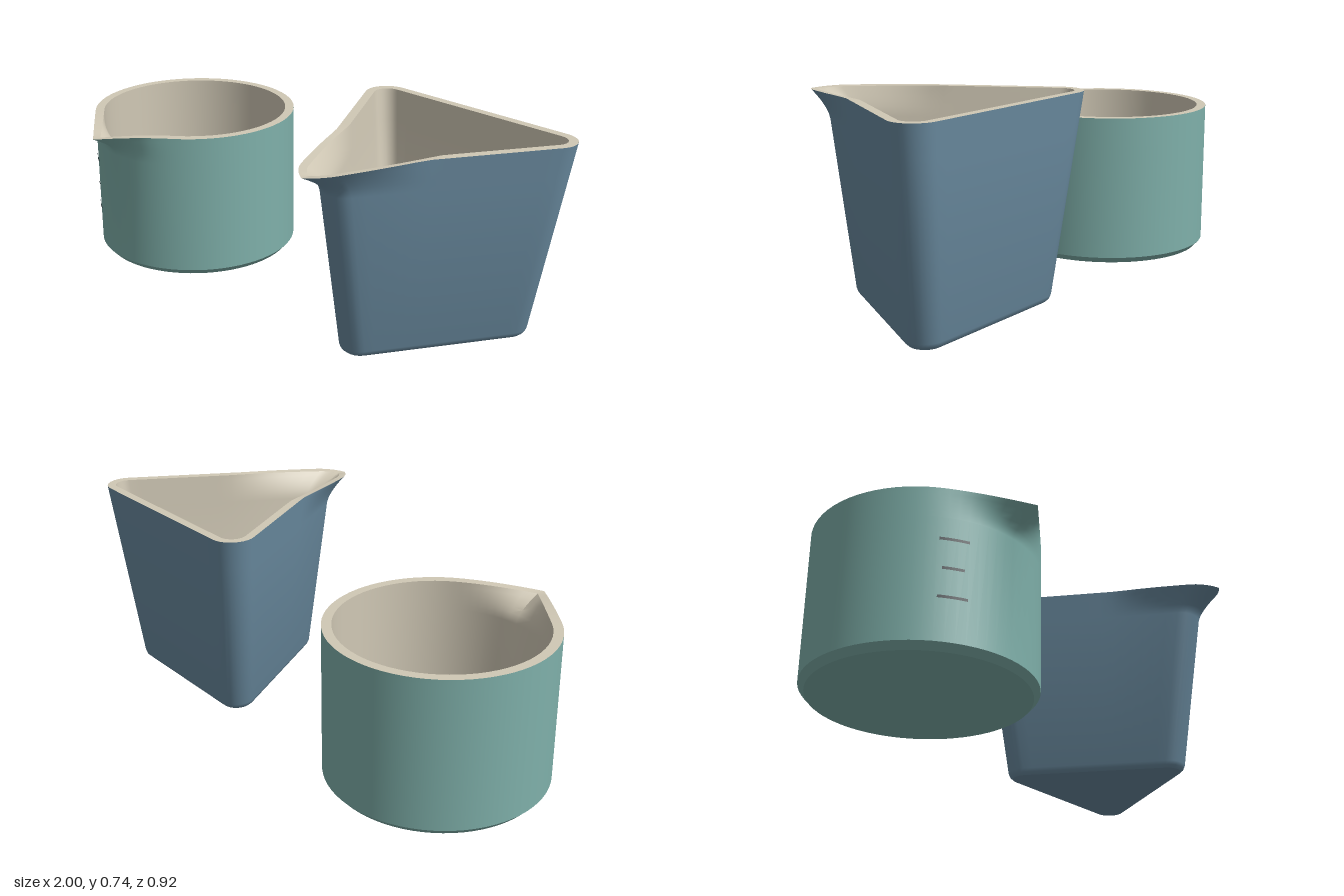
import * as THREE from 'three';
import { toCreasedNormals } from 'three/addons/utils/BufferGeometryUtils.js';

const TEAL = 0x7fb0aa, BLUE = 0x6a8ba0, CREAM = 0xd0c8b5, DARK = 0x26343a;
const lerp = THREE.MathUtils.lerp;
const material = (color) => new THREE.MeshStandardMaterial({ color });

// Skin a stack of closed rings, listed from the bottom outside to the floor inside
function skin(rings) {
  const pos = [];
  const tri = new THREE.Triangle();
  const add = (a, b, c) => {
    if (tri.set(a, b, c).getArea() > 1e-9) pos.push(...a.toArray(), ...b.toArray(), ...c.toArray());
  };
  for (let j = 0; j < rings.length - 1; j++) {
    const lo = rings[j], hi = rings[j + 1], n = lo.length;
    for (let i = 0; i < n; i++) {
      const k = (i + 1) % n;
      add(lo[i], lo[k], hi[k]);
      add(lo[i], hi[k], hi[i]);
    }
  }
  const geo = new THREE.BufferGeometry();
  geo.setAttribute('position', new THREE.Float32BufferAttribute(pos, 3));
  return toCreasedNormals(geo, 0.55);
}

// Plan of the round cup
const R = 0.405;
function roundPlan(y, inset) {
  return Array.from({ length: 72 }, (_, i) => {
    const a = (i / 72) * Math.PI * 2;
    return new THREE.Vector2(Math.sin(a) * (R - inset), Math.cos(a) * (R - inset));
  });
}

// Spout outline of the round cup: two tangents meeting in a point
function roundSpout(p) {
  const half = Math.acos(R / 0.51);
  const a = Math.abs(Math.atan2(p.x, p.y));
  return a < half ? (1 / Math.cos(half - a) - 1) / (0.51 / R - 1) : 0;
}

// Plan of the tapered triangular cup: three rounded corners joined by edges
function trianglePlan(y, inset) {
  const t = (y - 0.02) / 0.72;
  const r = lerp(0.07, 0.085, t), h = lerp(0.28, 0.37, t), back = lerp(-0.315, -0.365, t);
  const centres = [[0, back + h * Math.sqrt(3)], [h, back], [-h, back]];
  const arcs = centres.map(([x, z], k) => Array.from({ length: 11 }, (_, i) => {
    const a = ((k * 120 - 60 + i * 12) * Math.PI) / 180;
    return new THREE.Vector2(x + Math.sin(a) * (r - inset), z + Math.cos(a) * (r - inset));
  }));
  const out = [];
  arcs.forEach((arc, k) => {
    out.push(...arc);
    const from = arc[10], to = arcs[(k + 1) % 3][0];
    for (let i = 1; i < 16; i++) out.push(from.clone().lerp(to, i / 16));
  });
  return out;
}

// Spout of the triangular cup: strongest at the front corner
function triangleSpout(p) {
  const d = Math.abs(p.x) / 0.21;
  return p.y > 0 && d < 1 ? (1 - d) ** 1.2 : 0;
}

// One cup: plan rings lifted through the wall profile, with the spout pulled out near the rim
function makeCup({ name, color, plan, spout, top, spoutY, reach, drop, centreZ, outer, inner }) {
  const ring = ([inset, y, scale = 1]) => plan(y, inset).map((p) => {
    const t = Math.max(0, (y - spoutY) / (top - spoutY));
    const g = spout(p);
    const dir = new THREE.Vector2(p.x, p.y - centreZ).normalize();
    const pull = reach * g * t ** 1.8;
    return new THREE.Vector3(
      (p.x + dir.x * pull) * scale,
      y - drop * g * t,
      centreZ + (p.y - centreZ + dir.y * pull) * scale
    );
  });
  const spoutLevels = [0, 0.17, 0.33, 0.5, 0.67, 0.84, 1].map((t) => lerp(spoutY, top, t));
  const rimInset = inner[0][0];

  const outerRows = [...outer, ...spoutLevels.map((y) => [0, y])];
  const innerRows = [[0, top], ...spoutLevels.reverse().map((y) => [rimInset, y]), ...inner];
  const group = new THREE.Group();
  group.name = name;
  const shell = new THREE.Mesh(skin(outerRows.map(ring)), material(color));
  shell.name = 'outerShell';
  const lining = new THREE.Mesh(skin(innerRows.map(ring)), material(CREAM));
  lining.name = 'rimAndLining';
  group.add(shell, lining);
  return group;
}

export function createModel() {
  const model = new THREE.Group();
  model.name = 'measuringCups';

  // Round cup with a pointed pouring lip
  const round = makeCup({
    name: 'roundCup', color: TEAL, plan: roundPlan, spout: roundSpout,
    top: 0.575, spoutY: 0.465, reach: 0.105, drop: 0.02, centreZ: 0,
    outer: [[0.022, 0, 0], [0.022, 0], [0, 0.024]],
    inner: [[0.035, 0.06], [0.05, 0.04], [0.05, 0.04, 0]],
  });
  round.position.set(-0.6, 0, -0.055);
  model.add(round);

  // Measuring marks wrapped on the front of the round cup
  for (const [y, from, to] of [[0.385, -0.255, -0.17], [0.28, -0.245, -0.183], [0.178, -0.255, -0.17]]) {
    const a = Math.asin(from / R), b = Math.asin(to / R);
    const mark = new THREE.Mesh(
      new THREE.CylinderGeometry(R + 0.003, R + 0.003, 0.01, 8, 1, true, a, b - a),
      new THREE.MeshStandardMaterial({ color: DARK, side: THREE.DoubleSide })
    );
    mark.name = 'measuringMark';
    mark.position.y = y;
    round.add(mark);
  }

  // Triangular cup that pours from its front corner
  const triangle = makeCup({
    name: 'triangularCup', color: BLUE, plan: trianglePlan, spout: triangleSpout,
    top: 0.742, spoutY: 0.63, reach: 0.097, drop: 0.021, centreZ: -0.09,
    outer: [[0.014, 0, 0], [0.014, 0], [0.004, 0.01], [0, 0.024]],
    inner: [[0.033, 0.085], [0.04, 0.055], [0.055, 0.04], [0.055, 0.04, 0]],
  });
  triangle.position.x = 0.545;
  model.add(triangle);

  return model;
}
